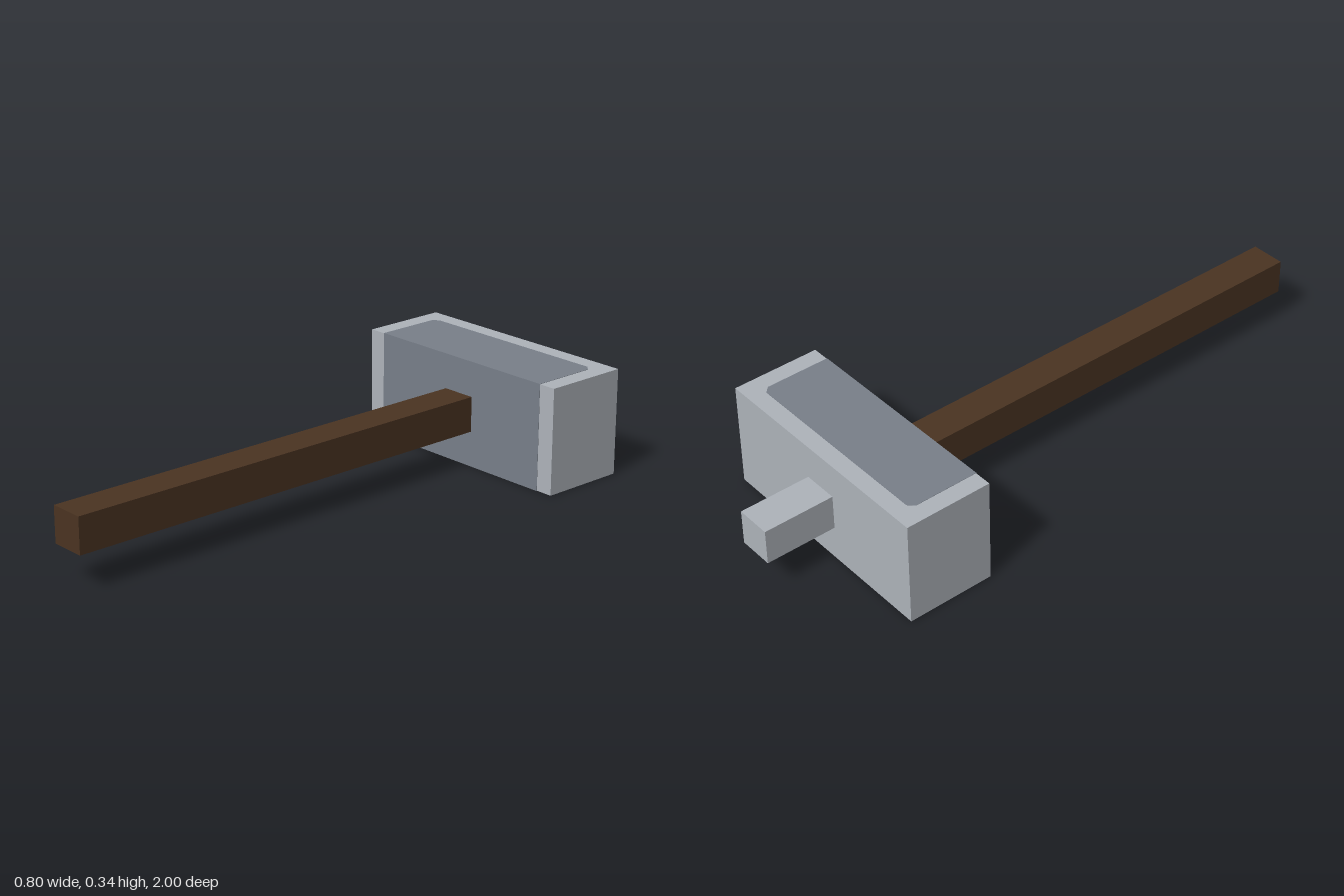
import * as THREE from 'three';

const mat = (name, color) => {
  const m = new THREE.MeshStandardMaterial({ color });
  m.name = name;
  return m;
};

export function createModel() {
  const lightSteel = mat('lightSteel', 0xafb4bb);
  const darkSteel = mat('darkSteel', 0x79808a);
  const wood = mat('wood', 0x4b3422);
  const group = new THREE.Group();
  group.name = 'hammer';

  const add = (name, geometry, material) => {
    const mesh = new THREE.Mesh(geometry, material);
    mesh.name = name;
    group.add(mesh);
  };

  // Box given by its half width and its y and z ranges
  const box = (name, halfX, y0, y1, z0, z1, material) => {
    const g = new THREE.BoxGeometry(halfX * 2, y1 - y0, z1 - z0);
    g.translate(0, (y0 + y1) / 2, (z0 + z1) / 2);
    add(name, g, material);
  };

  box('handle', 0.057, 0.115, 0.229, -0.5, 1, wood);
  box('head', 0.4, 0.001, 0.342, -0.771, -0.487, lightSteel);
  box('backPeg', 0.057, 0.115, 0.229, -1, -0.76, lightSteel);

  // Dark band showing on the top, front and bottom of the head, clipped at its back corners
  const w = 0.343, front = 0.486, back = 0.715, cut = 0.018;
  const outline = new THREE.Shape([
    [-w, front], [w, front], [w, back - cut], [w - cut, back], [-w + cut, back], [-w, back - cut],
  ].map(([x, y]) => new THREE.Vector2(x, y)));
  const band = new THREE.ExtrudeGeometry(outline, { depth: 0.343, bevelEnabled: false });
  band.rotateX(-Math.PI / 2);
  add('headInlay', band, darkSteel);

  return group;
}
